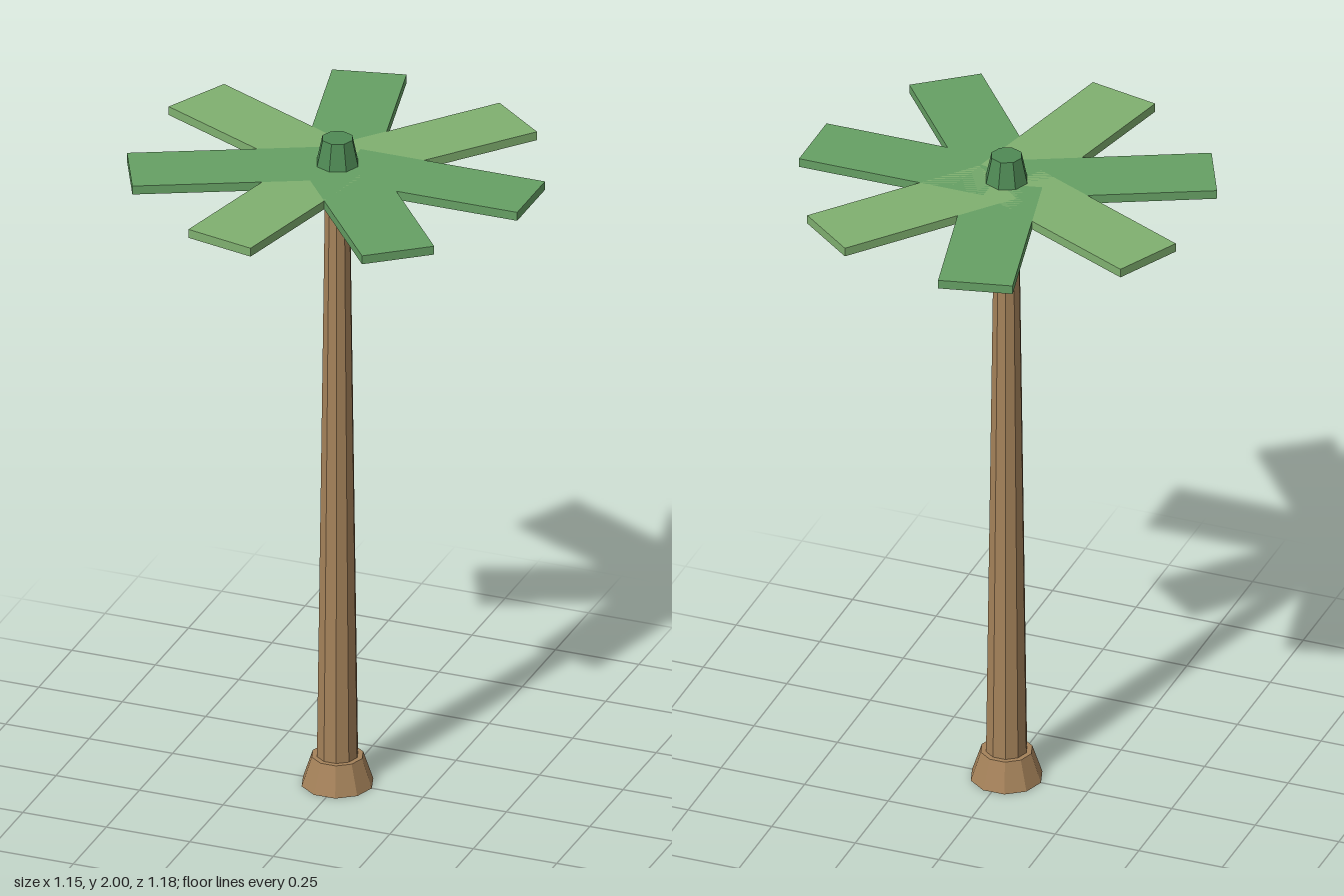
import * as THREE from 'three';

const mat = (color) => new THREE.MeshStandardMaterial({ color, flatShading: true });

export function createModel() {
  const tree = new THREE.Group();
  tree.name = 'palmTree';
  const body = new THREE.Group();
  body.name = 'palm';
  body.position.x = -0.006;
  tree.add(body);

  const bark = mat(0xa5825a), darkLeaf = mat(0x66a064), lightLeaf = mat(0x80b070);

  // Tapered, faceted piece standing between two heights
  function taper(name, rTop, rBottom, y0, y1, sides, material, x = 0, z = 0, turn = 0) {
    const mesh = new THREE.Mesh(new THREE.CylinderGeometry(rTop, rBottom, y1 - y0, sides), material);
    mesh.name = name;
    mesh.position.set(x, (y0 + y1) / 2, z);
    mesh.rotation.y = turn;
    body.add(mesh);
  }

  // Flared foot, trunk and crown
  taper('trunkBase', 0.074, 0.103, 0, 0.087, 10, bark, 0, 0, Math.PI / 10);
  taper('trunk', 0.035, 0.06, 0.02, 1.9, 10, bark, 0, 0, Math.PI / 10);
  taper('crown', 0.045, 0.069, 1.89, 2, 8, mat(0x4f8a55));

  // Two fruits hanging behind the trunk's sides
  taper('yellowFruit', 0.03, 0.024, 1.81, 1.882, 6, mat(0xd8b465), 0.061, -0.035, Math.PI / 6);
  taper('brownFruit', 0.028, 0.023, 1.803, 1.87, 6, mat(0xa8774f), -0.05, -0.03, Math.PI / 6);

  // Seven flat fronds in alternating greens
  const leaf = new THREE.BoxGeometry(0.552, 0.026, 0.21).translate(0.304, 0, 0);
  for (let i = 0; i < 7; i++) {
    const frond = new THREE.Mesh(leaf, i % 2 ? lightLeaf : darkLeaf);
    frond.name = `frond${i + 1}`;
    frond.position.y = 1.909;
    frond.rotation.y = (i / 7) * Math.PI * 2;
    body.add(frond);
  }
  return tree;
}
